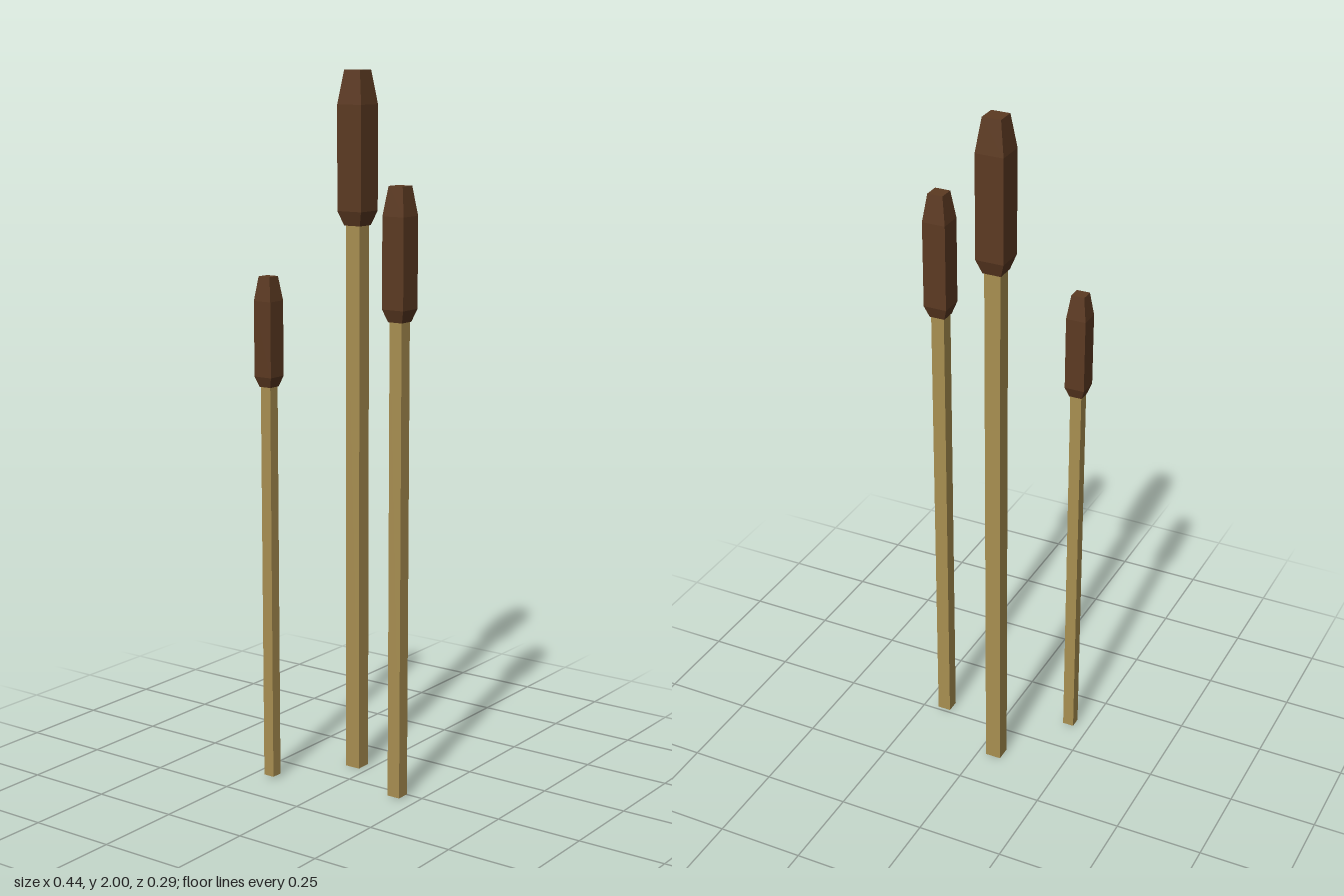
import * as THREE from 'three';

// Square-section solid lofted through [width, y] points from bottom to top
function squareLoft(profile, material, name) {
  const pts = profile.map(([w, y]) => new THREE.Vector2(w / Math.SQRT2, y));
  pts.unshift(new THREE.Vector2(0, profile[0][1]));
  pts.push(new THREE.Vector2(0, profile[profile.length - 1][1]));
  const geometry = new THREE.LatheGeometry(pts, 4, Math.PI / 4);
  const mesh = new THREE.Mesh(geometry.toNonIndexed(), material);
  mesh.geometry.computeVertexNormals(); // flat facets
  mesh.name = name;
  return mesh;
}

export function createModel() {
  const stemMaterial = new THREE.MeshStandardMaterial({ color: 0xa98f51 });
  stemMaterial.name = 'straw stem';
  const headMaterial = new THREE.MeshStandardMaterial({ color: 0x5c3a22 });
  headMaterial.name = 'brown seed head';

  const model = new THREE.Group();
  model.name = 'cattails';

  // Three reeds: position, stem base, head bottom and top, head and stem widths
  const reeds = [
    { name: 'tallReed', x: -0.048, z: -0.105, base: 0, low: 1.577, top: 2, head: 0.08, stem: 0.046 },
    { name: 'middleReed', x: 0.184, z: 0.026, base: 0.004, low: 1.342, top: 1.703, head: 0.068, stem: 0.039 },
    { name: 'shortReed', x: -0.1915, z: 0.1135, base: 0.008, low: 1.141, top: 1.447, head: 0.057, stem: 0.033 },
  ];

  for (const { name, x, z, base, low, top, head, stem } of reeds) {
    const reed = new THREE.Group();
    reed.name = name;
    reed.position.set(x, 0, z);
    const h = top - low;
    reed.add(squareLoft([[stem, base], [stem, low + 0.02]], stemMaterial, 'stem'));
    // Head chamfered at the bottom and tapered at the top
    reed.add(squareLoft([
      [head * 0.66, low],
      [head, low + h * 0.095],
      [head, low + h * 0.78],
      [head * 0.66, top],
    ], headMaterial, 'seedHead'));
    model.add(reed);
  }
  return model;
}
